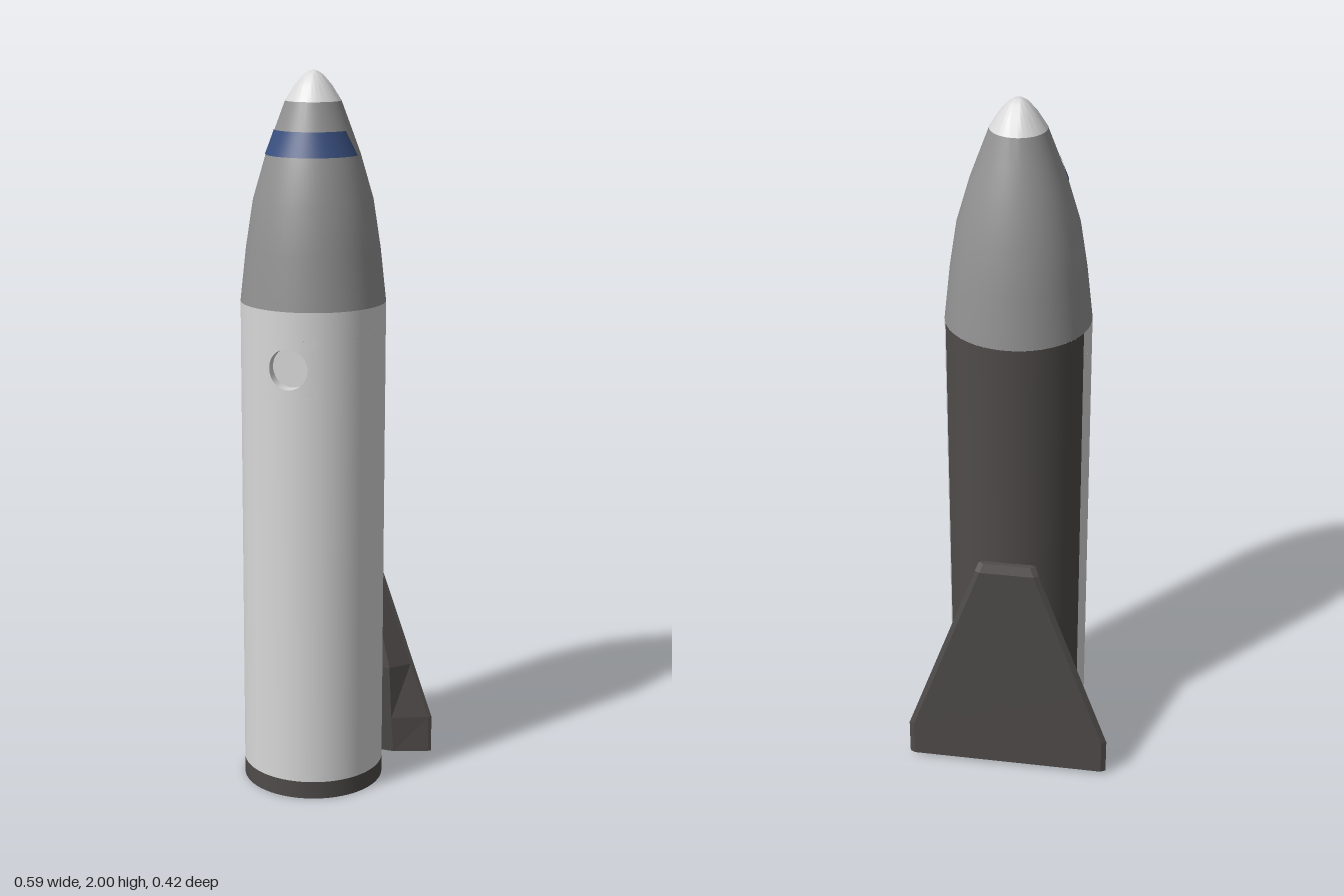
import * as THREE from 'three';
import { toCreasedNormals } from 'three/addons/utils/BufferGeometryUtils.js';

const R = 0.198, TOP = 1.385, BASE = 0.05;
const PORT_Y = 1.23, PORT_R = 0.055, PATCH = 0.08;
const SHIELD = THREE.MathUtils.degToRad(110.7); // shield edge, measured from the front

const mat = (name, color) => {
  const m = new THREE.MeshStandardMaterial({ color });
  m.name = name;
  return m;
};

// Surface from a rule fn(u, v) -> [x, y, z], with u and v in 0..1
function grid(fn, nu, nv) {
  const pos = [], index = [];
  for (let j = 0; j <= nv; j++) for (let i = 0; i <= nu; i++) pos.push(...fn(i / nu, j / nv));
  for (let j = 0; j < nv; j++) for (let i = 0; i < nu; i++) {
    const a = j * (nu + 1) + i, b = a + 1, c = a + nu + 1, d = c + 1;
    index.push(a, b, d, a, d, c);
  }
  const g = new THREE.BufferGeometry();
  g.setAttribute('position', new THREE.Float32BufferAttribute(pos, 3));
  g.setIndex(index);
  g.computeVertexNormals();
  return g;
}

const lathe = (pts) => toCreasedNormals(
  new THREE.LatheGeometry(pts.map(([r, y]) => new THREE.Vector2(r, y)), 64), 0.6);

// Part of the hull wall between two heights and two angles
const wall = (y0, y1, a0, a1) => new THREE.CylinderGeometry(R, R, y1 - y0, 48, 1, true, a0, a1 - a0)
  .translate(0, (y0 + y1) / 2, 0);

// Point on the hull from arc length s and height y
const onHull = (s, y) => [R * Math.sin(s / R), y, R * Math.cos(s / R)];

// Fin: bevelled cross-sections stacked upwards
function finGeometry() {
  // y, half width, front flat half width, front z, back z
  const levels = [
    [0.012, 0.293, 0.19, -0.158, -0.21],
    [0.12, 0.293, 0.185, -0.15, -0.21],
    [0.28, 0.236, 0.18, -0.143, -0.21],
    [0.69, 0.09, 0.07, -0.183, -0.21],
    [0.715, 0.08, 0.065, -0.186, -0.2],
  ];
  const rings = levels.map(([y, w, f, zf, zb]) => {
    const tipZ = Math.max(zb + 0.008, -0.202);
    const half = [[f, zf], [w - 0.008, tipZ + 0.006], [w, tipZ], [w - 0.014, zb]];
    const mirrored = half.map(([x, z]) => [-x, z]).reverse();
    return [...half, ...mirrored].map(([x, z]) => [x, y, z]);
  });
  const pos = [], n = rings[0].length;
  const tri = (...p) => p.forEach((q) => pos.push(...q));
  for (let k = 0; k < rings.length - 1; k++) {
    for (let i = 0; i < n; i++) {
      const j = (i + 1) % n, lo = rings[k], hi = rings[k + 1];
      tri(lo[i], hi[j], lo[j]);
      tri(lo[i], hi[i], hi[j]);
    }
  }
  const first = rings[0], last = rings[rings.length - 1];
  for (let i = 1; i < n - 1; i++) {
    tri(first[0], first[i], first[i + 1]);
    tri(last[0], last[i + 1], last[i]);
  }
  // sections run clockwise seen from below, so flip every triangle
  for (let t = 0; t < pos.length; t += 9) {
    for (let c = 0; c < 3; c++) [pos[t + 3 + c], pos[t + 6 + c]] = [pos[t + 6 + c], pos[t + 3 + c]];
  }
  const g = new THREE.BufferGeometry();
  g.setAttribute('position', new THREE.Float32BufferAttribute(pos, 3));
  g.computeVertexNormals();
  return g;
}

export function createModel() {
  const white = mat('hullWhite', 0xd8d8d8);
  const grey = mat('noseGrey', 0x929292);
  const dark = mat('shieldDark', 0x4f4c4a);
  const blue = mat('bandBlue', 0x3a5080);
  dark.side = THREE.DoubleSide;

  const model = new THREE.Group();
  model.name = 'rocket';
  const hull = new THREE.Group();
  hull.name = 'hull';
  hull.position.z = 0.01;
  model.add(hull);
  const add = (name, geometry, material, parent = hull) => {
    const m = new THREE.Mesh(geometry, material);
    m.name = name;
    parent.add(m);
    return m;
  };

  // Light hull wall, leaving a square opening for the porthole
  const p = PATCH / R;
  add('hullLower', wall(BASE, PORT_Y - PATCH, -SHIELD, SHIELD), white);
  add('hullUpper', wall(PORT_Y + PATCH, TOP, -SHIELD, SHIELD), white);
  add('hullMiddleLeft', wall(PORT_Y - PATCH, PORT_Y + PATCH, p, SHIELD), white);
  add('hullMiddleRight', wall(PORT_Y - PATCH, PORT_Y + PATCH, -SHIELD, -p), white);

  // Wall around the porthole: from circle to square
  add('portholeSurround', grid((u, v) => {
    const a = v * Math.PI * 2, c = Math.cos(a), s = Math.sin(a);
    const r = THREE.MathUtils.lerp(PORT_R, PATCH / Math.max(Math.abs(c), Math.abs(s)), u);
    return onHull(r * c, PORT_Y + r * s);
  }, 4, 48), white);

  // Recess of the porthole
  const floorZ = R - 0.035;
  add('portholeRim', grid((u, v) => {
    const a = v * Math.PI * 2;
    const [x, y, z] = onHull(PORT_R * Math.cos(a), PORT_Y + PORT_R * Math.sin(a));
    return [x, y, THREE.MathUtils.lerp(floorZ, z, u)];
  }, 1, 48), white);
  add('portholeFloor', new THREE.CircleGeometry(PORT_R, 48).translate(0, PORT_Y, floorZ), white);

  // Dark heat shield on the back
  add('heatShield', wall(BASE, TOP, SHIELD, Math.PI * 2 - SHIELD), dark);

  // Base ring and hollow engine bay
  add('baseRing', lathe([[0.186, 0], [R, 0], [R, BASE]]), dark);
  add('engineBay', lathe([[0, 0.4], [0.186, 0.4], [0.186, 0]]), grey);

  // Nose and its light tip
  add('nose', lathe([[R, TOP], [0.182, 1.53], [0.162, 1.66], [0.127, 1.78], [0.103, 1.845], [0.075, 1.92]]), grey);
  add('noseTip', lathe([[0.075, 1.92], [0.05, 1.96], [0.027, 1.987], [0.012, 1.997], [0, 2]]), white);

  // Blue window band around the front, with slanted ends
  add('windowBand', grid((u, v) => {
    const end = THREE.MathUtils.degToRad(THREE.MathUtils.lerp(86, 75, v));
    const a = (u * 2 - 1) * end, r = THREE.MathUtils.lerp(0.129, 0.105, v);
    return [r * Math.sin(a), THREE.MathUtils.lerp(1.78, 1.845, v), r * Math.cos(a)];
  }, 48, 1), blue);

  // Broad tapered fin across the back
  add('fin', finGeometry(), dark, model);
  return model;
}
